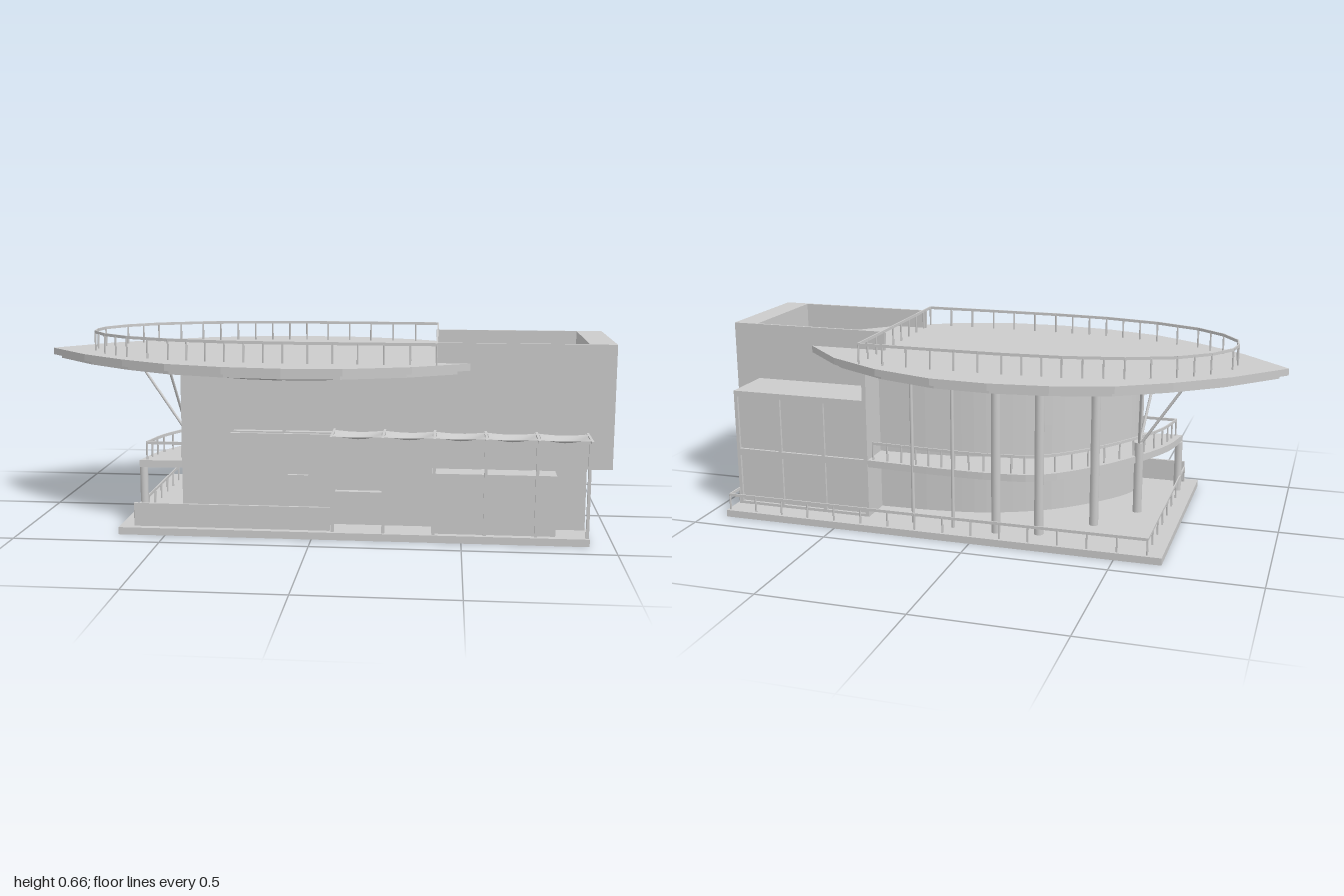
import * as THREE from 'three';

const grey = new THREE.MeshStandardMaterial({ color: 0xcccccc, flatShading: true });
const smooth = new THREE.MeshStandardMaterial({ color: 0xcccccc });
const thin = new THREE.MeshStandardMaterial({ color: 0xcccccc, side: THREE.DoubleSide });
const V = (x, y, z) => new THREE.Vector3(x, y, z);

export function createModel() {
  const model = new THREE.Group();

  const add = (name, geo, mat = grey, parent = model) => {
    const m = new THREE.Mesh(geo, mat);
    m.name = name;
    parent.add(m);
    return m;
  };
  // box given by its extents
  const box = (name, x0, x1, y0, y1, z0, z1) => {
    const m = add(name, new THREE.BoxGeometry(x1 - x0, y1 - y0, z1 - z0));
    m.position.set((x0 + x1) / 2, (y0 + y1) / 2, (z0 + z1) / 2);
  };
  // round bar between two points
  const bar = (name, a, b, r, sides = 6, parent = model) => {
    const m = add(name, new THREE.CylinderGeometry(r, r, a.distanceTo(b), sides), smooth, parent);
    m.position.copy(a).lerp(b, 0.5);
    m.quaternion.setFromUnitVectors(V(0, 1, 0), b.clone().sub(a).normalize());
  };
  // slab or wall with plan outline [x, z], raised from y0 to y1
  const prism = (name, pts, y0, y1) => {
    const shape = new THREE.Shape(pts.map(([x, z]) => new THREE.Vector2(x, -z)));
    const geo = new THREE.ExtrudeGeometry(shape, { depth: y1 - y0, bevelEnabled: false });
    geo.rotateX(-Math.PI / 2).translate(0, y0, 0);
    add(name, geo);
  };
  // railing along a plan path, with evenly spaced posts
  const railing = (name, pts, y0, y1, spacing) => {
    const g = new THREE.Group();
    g.name = name;
    model.add(g);
    for (let i = 0; i < pts.length - 1; i++) {
      const a = V(pts[i][0], y1 - 0.005, pts[i][1]);
      const b = V(pts[i + 1][0], y1 - 0.005, pts[i + 1][1]);
      const rail = add('handrail', new THREE.BoxGeometry(0.005, 0.01, a.distanceTo(b) + 0.003), grey, g);
      rail.position.copy(a).lerp(b, 0.5);
      rail.rotation.y = Math.atan2(b.x - a.x, b.z - a.z);
      const n = Math.max(1, Math.round(a.distanceTo(b) / spacing));
      for (let k = 0; k <= n; k++) {
        if (k === n && i < pts.length - 2) continue;
        const p = a.clone().lerp(b, k / n);
        bar('railPost', V(p.x, y0, p.z), V(p.x, y1 - 0.005, p.z), 0.0035, 6, g);
      }
    }
  };
  const curve = (pts, n) =>
    new THREE.CatmullRomCurve3(pts.map(([x, z]) => V(x, 0, z))).getPoints(n).map(p => [p.x, p.z]);

  // ground slab
  box('baseSlab', -0.66, 0.92, 0, 0.025, -0.415, 0.415);

  // main hall with a curved rear wall, in layers whose front is notched for recessed glass
  const rearWall = curve([[0.41, -0.21], [0.2, -0.2], [0, -0.165], [-0.2, -0.07], [-0.36, 0.08], [-0.44, 0.2], [-0.46, 0.3]], 28);
  const notch = (x0, x1) => [[x0, 0.3], [x0, 0.275], [x1, 0.275], [x1, 0.3]];
  prism('hallBase', [...rearWall, [0.41, 0.3]], 0.025, 0.14);
  prism('hallEntranceLevel', [...rearWall, ...notch(0.07, 0.235), [0.41, 0.3]], 0.14, 0.345);
  prism('hallUpperLevel', [...rearWall, ...notch(-0.28, -0.11), ...notch(-0.1, 0.06), [0.41, 0.3]], 0.345, 0.55);
  box('hallEndWall', 0.4, 0.415, 0.025, 0.55, -0.33, -0.2);

  // balcony around the curve, with its railing
  const edge = curve([[0.4, -0.33], [0.23, -0.34], [0.08, -0.345], [-0.08, -0.34], [-0.22, -0.31], [-0.37, -0.18], [-0.5, 0], [-0.58, 0.16], [-0.61, 0.3]], 24);
  prism('balconySlab', [...edge, [0.4, 0.25]], 0.21, 0.235);
  const inset = edge.map(([x, z]) => [x * 0.96, z * 0.96]);
  railing('balconyRailing', [...inset, [-0.46, 0.29]], 0.235, 0.3, 0.09);

  // tall columns up to the roof, the two nearest the glazed block thinner
  for (const [x, z, r] of [[0.23, -0.335, 0.006], [0.08, -0.343, 0.006], [-0.075, -0.343, 0.016], [-0.22, -0.318, 0.016], [-0.38, -0.175, 0.016]])
    bar('roofColumn', V(x, 0.025, z), V(x, 0.545, z), r, 16);
  bar('balconyColumn', V(-0.6, 0.025, 0.28), V(-0.6, 0.215, 0.28), 0.014, 16);
  // strutted column
  bar('strutColumn', V(-0.5, 0.025, 0), V(-0.5, 0.285, 0), 0.016, 16);
  for (const [x, z] of [[-0.67, 0], [-0.53, -0.15], [-0.53, 0.15]])
    bar('strut', V(-0.5, 0.27, 0), V(x, 0.525, z), 0.005, 8);

  // front facade: projecting wall, door and low wall
  box('frontWall', -0.29, 0.06, 0.025, 0.34, 0.29, 0.312);
  box('frontDoor', -0.09, -0.02, 0.025, 0.2, 0.3, 0.325);
  box('lowWall', -0.61, 0.06, 0.025, 0.105, 0.38, 0.39);

  // end tower: ground floor, overhanging upper floor and open parapet
  box('towerGroundFloor', 0.41, 0.915, 0.025, 0.24, -0.13, 0.3);
  box('towerUpperFloor', 0.405, 1, 0.235, 0.55, -0.135, 0.3);
  box('parapetEnd', 0.91, 1, 0.55, 0.655, -0.135, 0.3);
  box('parapetBack', 0.405, 0.91, 0.55, 0.655, -0.135, -0.125);
  box('parapetFront', 0.405, 0.91, 0.55, 0.655, 0.29, 0.3);
  box('frontAnnex', 0.4, 0.81, 0.025, 0.23, 0.29, 0.39);
  for (const x of [0.41, 0.58, 0.75]) box('towerWindow', x, x + 0.155, 0.23, 0.345, 0.295, 0.309);

  // glazed block at the rear, with a grid of frames
  box('glazing', 0.41, 0.9, 0.025, 0.445, -0.322, -0.13);
  for (const [y0, y1] of [[0.025, 0.035], [0.21, 0.235], [0.43, 0.45]])
    box('glazingBand', 0.4, 0.91, y0, y1, -0.332, -0.13);
  for (const x of [0.4, 0.564, 0.732, 0.898]) box('glazingMullion', x, x + 0.012, 0.025, 0.45, -0.332, -0.315);
  for (const z of [-0.24, -0.142]) box('glazingMullion', 0.895, 0.91, 0.025, 0.45, z, z + 0.012);

  // leaf-shaped roof: half outline mirrored across x
  const half = [[-0.83, 0.18], [-0.66, 0.31], [-0.49, 0.41], [-0.29, 0.467], [-0.09, 0.49], [0.11, 0.48], [0.33, 0.41], [0.53, 0.295], [0.72, 0.105]];
  const mirror = pts => pts.map(([x, z]) => [x, -z]).reverse();
  const leaf = [[-1, 0], ...half, ...mirror(half)];
  const scaled = s => leaf.map(([x, z]) => [-0.15 + (x + 0.15) * s, z * s]);
  prism('roofSlab', leaf, 0.563, 0.587);
  prism('roofLowerSlab', scaled(0.965), 0.55, 0.565);

  // shallow hull under the roof, lofted through shrinking outlines
  const rings = [[0.95, 0.551], [0.62, 0.523], [0.36, 0.496]];
  const pos = [], idx = [], n = leaf.length;
  rings.forEach(([s, y]) => scaled(s).forEach(([x, z]) => pos.push(x, y, z)));
  pos.push(-0.2, 0.485, 0);
  for (let r = 0; r < rings.length; r++)
    for (let i = 0; i < n; i++) {
      const a = r * n + i, b = r * n + (i + 1) % n;
      if (r === rings.length - 1) idx.push(a, rings.length * n, b);
      else idx.push(a, a + n, b, b, a + n, b + n);
    }
  const hull = new THREE.BufferGeometry();
  hull.setAttribute('position', new THREE.Float32BufferAttribute(pos, 3));
  hull.setIndex(idx);
  hull.computeVertexNormals();
  add('roofHull', hull, thin);

  // roof terrace railing
  const side = [[-0.82, 0.07], [-0.76, 0.16], [-0.66, 0.24], [-0.5, 0.305], [-0.3, 0.345], [-0.1, 0.358], [0.15, 0.358], [0.41, 0.355]];
  railing('roofRailing', [[-0.83, 0], ...side, ...mirror(side), [-0.83, 0]], 0.585, 0.66, 0.08);

  // railing on the slab edge
  railing('groundRailing', [[0.91, -0.33], [0.91, -0.402], [-0.61, -0.402], [-0.61, 0.38]], 0.025, 0.085, 0.1);

  // awning: posts with arms, and dished membranes with hollowed edges between them
  const posts = [0.07, 0.24, 0.408, 0.577, 0.745, 0.913];
  posts.forEach((x, i) => {
    box('awningPost', x - 0.005, x + 0.005, 0.025, 0.355, 0.395, 0.405);
    box('awningArm', x - 0.004, x + 0.004, 0.352, 0.36, 0.3, 0.458);
    if (!i) return;
    const w = x - posts[i - 1];
    const sheet = new THREE.PlaneGeometry(w, 0.12, 10, 6).rotateX(-Math.PI / 2);
    const p = sheet.attributes.position;
    for (let k = 0; k < p.count; k++) {
      const sag = Math.cos((p.getX(k) / w) * Math.PI);
      const across = Math.cos((p.getZ(k) / 0.12) * Math.PI);
      p.setXYZ(k, p.getX(k) * (1 - 0.09 * across), 0.36 - sag * (0.004 + 0.014 * across), 0.387 + p.getZ(k) * (1 - 0.15 * sag));
    }
    sheet.computeVertexNormals();
    add('awningMembrane', sheet, thin).position.x = x - w / 2;
  });

  return model;
}
